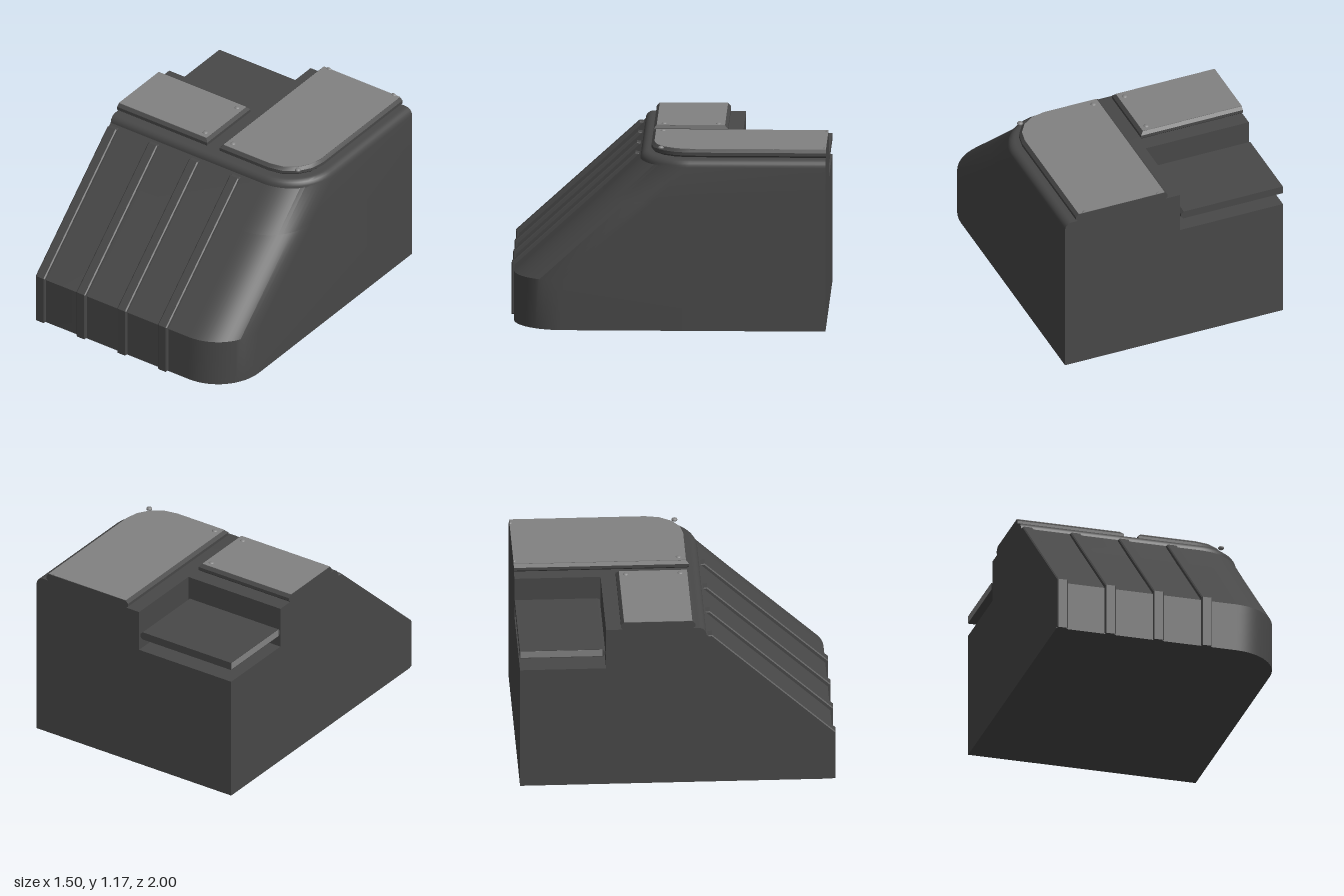
import * as THREE from 'three';
import { toCreasedNormals } from 'three/addons/utils/BufferGeometryUtils.js';

const mat = (name, color) => Object.assign(new THREE.MeshStandardMaterial({ color }), { name });

// Skins a stack of closed outlines (listed bottom to top) and closes both ends around a hub point.
function loft(levels, hub) {
  const n = levels[0].pts.length;
  const point = (y) => ({ y, pts: Array(n).fill(hub) });
  const rows = [point(levels[0].y), ...levels, point(levels[levels.length - 1].y)];
  const pos = [];
  rows.forEach((row) => row.pts.forEach(([x, z]) => pos.push(x, row.y, z)));
  const index = [];
  for (let r = 0; r < rows.length - 1; r++) {
    for (let i = 0; i < n; i++) {
      const j = (i + 1) % n;
      const a = r * n + i, b = r * n + j, c = b + n, d = a + n;
      if (r > 0) index.push(a, b, c);
      if (r < rows.length - 2) index.push(a, c, d);
      if (r === rows.length - 2) index.push(a, b, c);
    }
  }
  const g = new THREE.BufferGeometry();
  g.setAttribute('position', new THREE.Float32BufferAttribute(pos, 3));
  g.setIndex(index);
  return toCreasedNormals(g, 0.5);
}

// Rounded corner from the front edge round to the left side.
function corner(right, front, radius, steps) {
  return Array.from({ length: steps + 1 }, (_, i) => {
    const a = (i / steps) * Math.PI / 2;
    return [right - radius + radius * Math.sin(a), front - radius + radius * Math.cos(a)];
  });
}

export function createModel() {
  const group = new THREE.Group();
  const dark = mat('dark grey', 0x484848);
  const light = mat('light grey', 0x828282);
  const add = (name, geometry, material, x = 0, y = 0, z = 0) => {
    const mesh = new THREE.Mesh(geometry, material);
    mesh.name = name;
    mesh.position.set(x, y, z);
    group.add(mesh);
    return mesh;
  };

  // Body: sloping front, rounded corner, square notch at the back
  const floorY = 0.83;
  const frontAt = (y) => (y <= 0.32 ? 0.98 : 0.98 - ((y - 0.32) / 0.73) * 0.8);
  const skin = (front, k) => [[-0.75, front], ...corner(0.75 - k, front, 0.32 - k, 16), [0.75 - k, -1]];
  const lower = [0, 0.32, floorY].map((y) => ({ y, pts: [...skin(frontAt(y), 0), [-0.75, -1]] }));
  add('lowerBody', loft(lower, [0, 0]), dark);

  const notch = [[-0.04, -1], [-0.04, -0.455], [-0.75, -0.455]];
  const upper = [{ y: floorY, pts: [...skin(frontAt(floorY), 0), ...notch] }];
  for (let i = 0; i <= 6; i++) {
    const a = (i / 6) * Math.PI / 2, k = 0.05 * (1 - Math.cos(a));
    upper.push({ y: 1.055 + 0.05 * Math.sin(a), pts: [...skin(0.18 - k, k), ...notch] });
  }
  add('upperBody', loft(upper, [-0.04, -0.455]), dark);

  // Raised covers: bevelled dark frames, inset by k on their free sides only
  const wide = (k) => [[0.045 + k, 0.11 - k], ...corner(0.675 - k, 0.11 - k, 0.25 - k, 4),
    [0.675 - k, -1], [0.045 + k, -1]];
  const small = (k) => [[-0.75, 0.11 - k], [-0.05 - k, 0.11 - k], [-0.05 - k, -0.36 + k], [-0.75, -0.36 + k]];
  const seat = (k) => [[-0.75, -0.46 - k], [-0.05 - k, -0.46 - k], [-0.05 - k, -1], [-0.75, -1]];
  const frame = (outline, hub, y) => loft(
    [[0, 0.015], [0.014, 0], [0.034, 0], [0.052, 0.018]].map(([h, k]) => ({ y: y + h, pts: outline(k) })), hub);
  const plate = (outline, hub, y) => loft([0, 0.004].map((h) => ({ y: y + h, pts: outline(0.019) })), hub);

  add('wideCoverFrame', frame(wide, [0.3, -0.4], 1.103), dark);
  add('wideCoverPlate', plate(wide, [0.3, -0.4], 1.154), light);
  add('smallCoverFrame', frame(small, [-0.4, -0.12], 1.103), dark);
  add('smallCoverPlate', plate(small, [-0.4, -0.12], 1.154), light);

  // Slab hovering in the notch, with a pale cut edge
  add('notchSlab', frame(seat, [-0.4, -0.73], 0.915), dark);
  add('slabEdge', new THREE.BoxGeometry(0.004, 0.045, 0.52), light, -0.749, 0.942, -0.737);

  // Ribs running up the front and slope
  const profile = new THREE.Shape([[0.96, 0.006], [0.993, 0.006], [0.993, 0.333], [0.215, 1.043],
    [0.18, 1.04], [0.96, 0.31]].map(([z, y]) => new THREE.Vector2(z, y)));
  const rib = new THREE.ExtrudeGeometry(profile, {
    depth: 0.056, bevelEnabled: true, bevelSize: 0.006, bevelThickness: 0.007, bevelSegments: 1,
  });
  rib.translate(0, 0, -0.028);
  rib.rotateY(-Math.PI / 2);
  [-0.715, -0.398, -0.081, 0.236].forEach((x) => add('frontRib', rib, dark, x));

  // Screw heads; those on the back edge are halved
  const screw = new THREE.SphereGeometry(0.019, 16, 10);
  const halfScrew = new THREE.SphereGeometry(0.019, 12, 10, 0, Math.PI);
  [[-0.11, -0.3], [-0.11, 0.045], [0.105, 0.045], [0.61, 0.045], [0.105, -1], [0.61, -1]].forEach(([x, z]) => {
    add('screwHead', z === -1 ? halfScrew : screw, light, x, 1.154, z).scale.y = 0.65;
  });

  return group;
}
